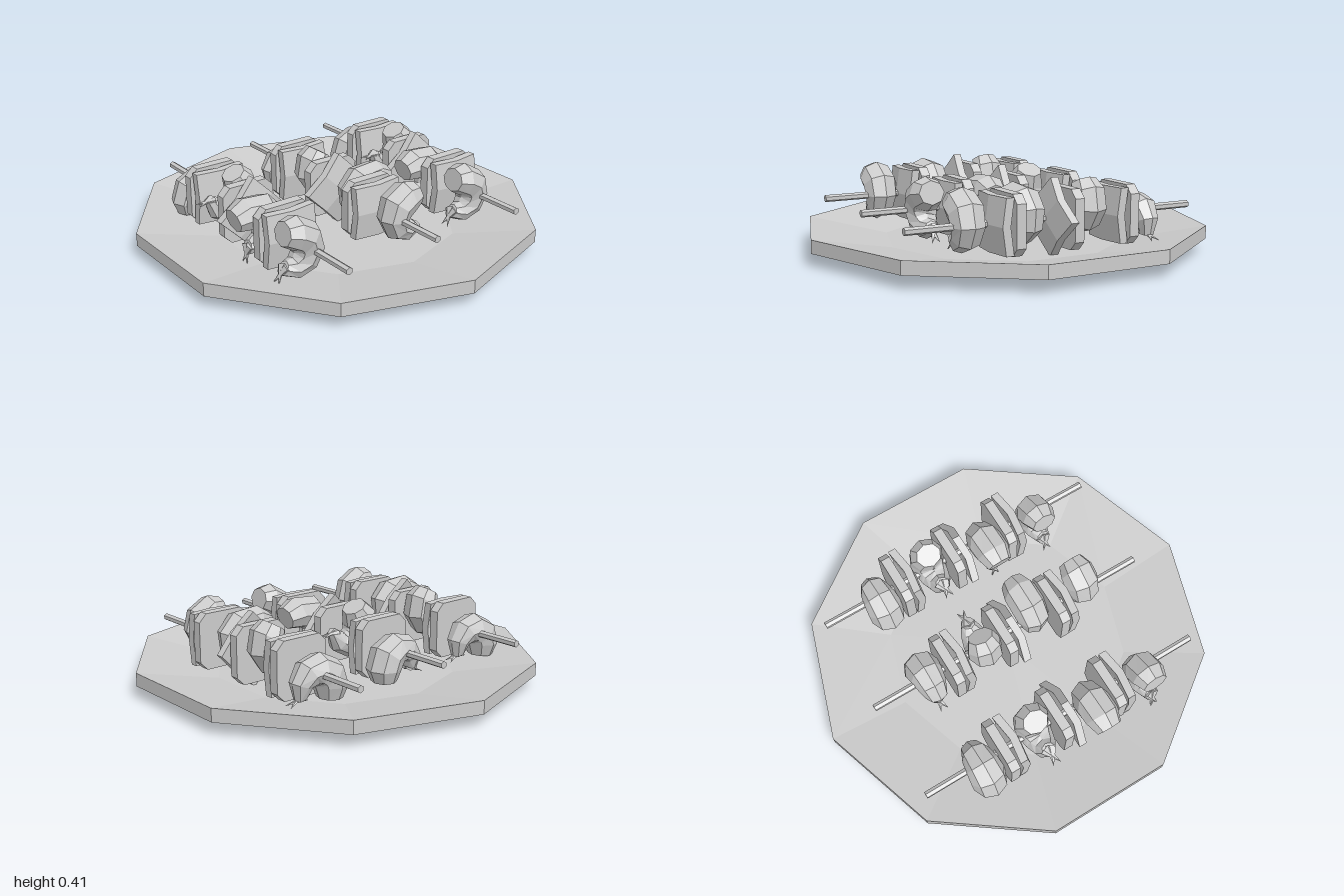
import * as THREE from 'three';

const mat = new THREE.MeshStandardMaterial({ color: 0xcccccc, flatShading: true });

function add(parent, name, geo) {
  const mesh = new THREE.Mesh(geo, mat);
  mesh.name = name;
  parent.add(mesh);
  return mesh;
}

// Mirror a geometry in x and restore its winding
function mirrorX(geo) {
  const g = geo.index ? geo.toNonIndexed() : geo;
  g.scale(-1, 1, 1);
  const p = g.attributes.position;
  const a = new THREE.Vector3(), b = new THREE.Vector3();
  for (let i = 0; i < p.count; i += 3) {
    a.fromBufferAttribute(p, i + 1);
    b.fromBufferAttribute(p, i + 2);
    p.setXYZ(i + 1, b.x, b.y, b.z);
    p.setXYZ(i + 2, a.x, a.y, a.z);
  }
  g.computeVertexNormals();
  return g;
}

const CURL = 0.085; // radius of the prawn's curl
const TAIL = -1.95, HEAD = 2.3, STRAIGHT = 1.6; // arc angles; straight past the last

// Tapered cylinder bent into a C, from tail (bottom) to head (top)
function prawnBody() {
  const radial = [0.035, 0.052, 0.066, 0.075, 0.082, 0.082, 0.058];
  const wide = [0.035, 0.058, 0.074, 0.084, 0.09, 0.088, 0.065];
  const g = new THREE.CylinderGeometry(1, 1, 1, 8, 6);
  const p = g.attributes.position;
  for (let i = 0; i < p.count; i++) {
    const t = p.getY(i) + 0.5, k = Math.round(t * 6);
    const full = TAIL + (HEAD - TAIL) * t;
    const a = Math.min(full, STRAIGHT), extra = (full - a) * CURL;
    const r = CURL + p.getX(i) * radial[k];
    p.setXYZ(i,
      r * Math.cos(a) - CURL - extra * Math.sin(a),
      r * Math.sin(a) + extra * Math.cos(a),
      p.getZ(i) * wide[k]);
  }
  g.computeVertexNormals();
  return g;
}

// One flat blade of the tail fan, flaring away from the curl
function tailFin(side) {
  const g = new THREE.ConeGeometry(0.026, 0.1, 5);
  g.rotateX(Math.PI);
  g.scale(0.5, 1, 1);
  g.translate(0, -0.035, 0);
  g.rotateX(side * 0.4);
  g.rotateZ(TAIL + 1.6);
  g.translate(CURL * Math.cos(TAIL) - CURL, CURL * Math.sin(TAIL), side * 0.012);
  return g;
}

// Square slab with cut corners
function chunk() {
  const w = 0.14, c = 0.1;
  const s = new THREE.Shape([[w, -c], [w, c], [c, w], [-c, w], [-w, c], [-w, -c], [-c, -w], [c, -w]]
    .map(([x, y]) => new THREE.Vector2(x, y)));
  const g = new THREE.ExtrudeGeometry(s, { depth: 0.048, bevelEnabled: false });
  g.translate(0, 0, -0.024);
  return g;
}

// Square slice of even thickness whose corners bend back
function slice() {
  const g = new THREE.BoxGeometry(0.26, 0.26, 0.04, 2, 2, 1);
  const p = g.attributes.position;
  for (let i = 0; i < p.count; i++) {
    const bend = (Math.abs(p.getX(i)) + Math.abs(p.getY(i))) / 0.13;
    p.setZ(i, p.getZ(i) - 0.018 * bend);
  }
  g.computeVertexNormals();
  return g;
}

function skewer(mirrored) {
  const group = new THREE.Group();
  group.name = 'skewer';
  const place = (name, geo, z, turn = 0, y = 0) => {
    geo.rotateZ(turn);
    geo.translate(0, y, z);
    add(group, name, mirrored ? mirrorX(geo) : geo);
  };

  // Stick
  place('stick', new THREE.CylinderGeometry(0.018, 0.018, 1.51, 6).rotateX(Math.PI / 2), 0);

  // Prawns, each turned differently on the stick: z, turn, stretch, lift
  const prawns = [[0.45, -0.2, 1, -0.018], [0.15, 0.2, 1.2, 0.015], [-0.15, -1.05, 1, -0.018], [-0.455, 1.57, 1, 0.015]];
  for (const [z, turn, stretch, lift] of prawns) {
    place('prawnBody', prawnBody().scale(stretch, 1, 1), z, turn, lift);
    for (const side of [-1, 1]) place('prawnTailFin', tailFin(side).scale(stretch, 1, 1), z, turn, lift);
  }

  // Vegetable pieces between the prawns
  for (const [z, turn] of [[0.3, 0], [0, Math.PI / 4], [-0.3, 0]]) {
    place('vegetableChunk', chunk(), z - 0.042);
    place('vegetableSlice', slice(), z + 0.045, turn);
  }
  return group;
}

export function createModel() {
  const model = new THREE.Group();
  model.name = 'skewerPlatter';

  // Ten-sided plate with a sunken floor
  const profile = [[0, 0], [0.6, 0], [1, 0.06], [1, 0.125], [0.6, 0.05], [0, 0.05]]
    .map(([x, y]) => new THREE.Vector2(x, y));
  add(model, 'plate', new THREE.LatheGeometry(profile, 10));

  // Three skewers, the middle one mirrored
  for (const i of [-1, 0, 1]) {
    const s = skewer(i === 0);
    s.position.set(i * 0.5, 0.225, 0);
    model.add(s);
  }
  return model;
}
